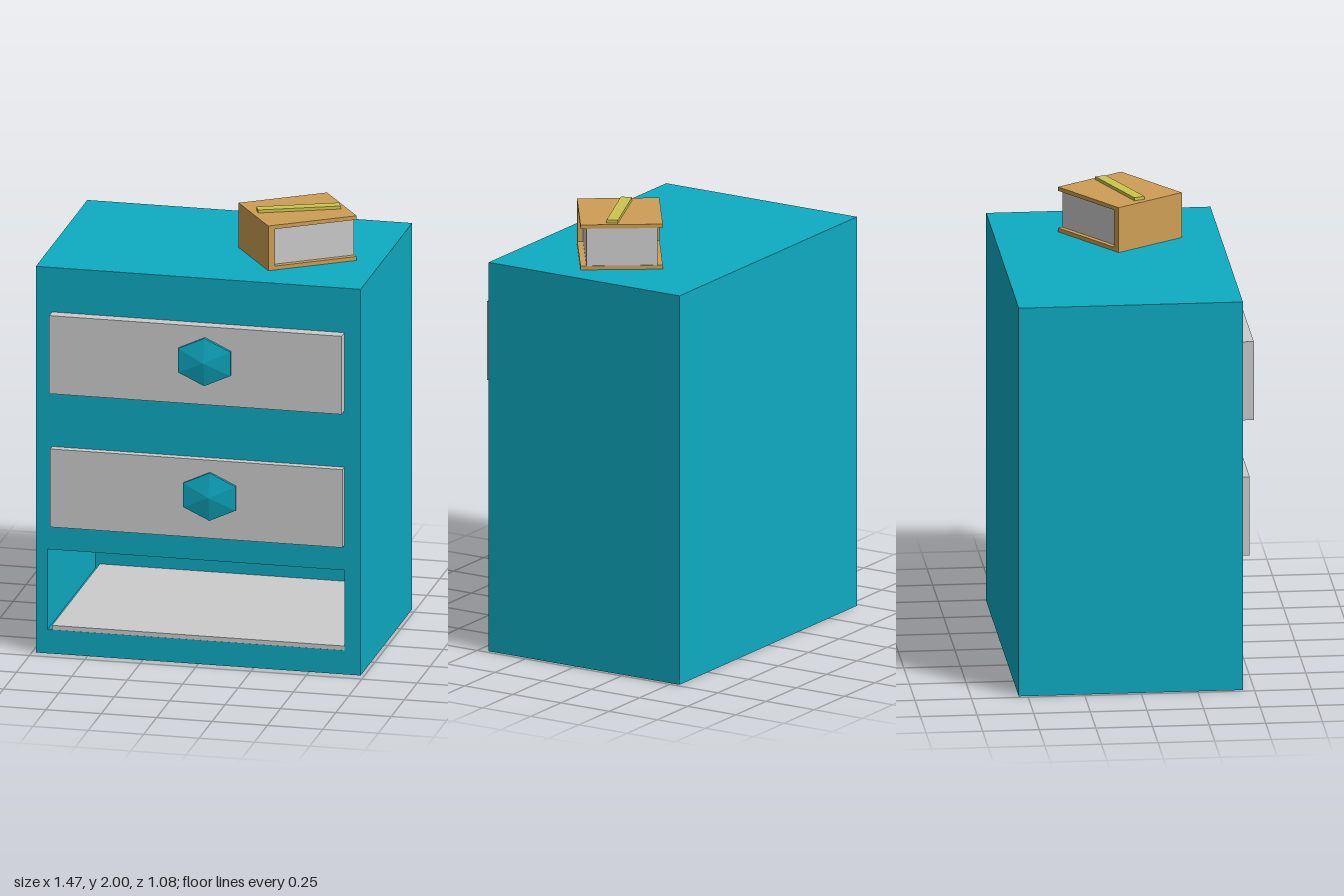
import * as THREE from 'three';

const mat = (color) => new THREE.MeshStandardMaterial({ color, flatShading: true });

export function createModel() {
  const model = new THREE.Group();
  const teal = mat(0x0eabc2), grey = mat(0xcccccc), brown = mat(0xce9f55), yellow = mat(0xccc550);

  const add = (parent, name, geometry, material) => {
    const mesh = new THREE.Mesh(geometry, material);
    mesh.name = name;
    parent.add(mesh);
    return mesh;
  };
  // Box given by its minimum and maximum corners
  const box = (parent, name, material, a, b) => {
    const g = new THREE.BoxGeometry(b[0] - a[0], b[1] - a[1], b[2] - a[2]);
    g.translate((a[0] + b[0]) / 2, (a[1] + b[1]) / 2, (a[2] + b[2]) / 2);
    return add(parent, name, g, material);
  };
  const rect = (target, x0, y0, x1, y1) =>
    target.moveTo(x0, y0).lineTo(x1, y0).lineTo(x1, y1).lineTo(x0, y1).closePath();

  // Cabinet body with an open bay at the bottom
  const cabinet = new THREE.Group();
  cabinet.name = 'cabinet';
  model.add(cabinet);
  const outline = rect(new THREE.Shape(), -0.733, 0, 0.733, 1.78);
  outline.holes.push(rect(new THREE.Path(), -0.68, 0.11, 0.66, 0.48));
  const body = new THREE.ExtrudeGeometry(outline, { depth: 0.92, bevelEnabled: false });
  add(cabinet, 'cabinetBody', body.translate(0, 0, -0.47), teal);
  box(cabinet, 'cabinetBack', teal, [-0.733, 0, -0.54], [0.733, 1.78, -0.47]);
  box(cabinet, 'bayFloor', grey, [-0.66, 0.11, -0.469], [0.66, 0.13, 0.449]);

  // Two drawers, each with a six-sided pointed knob
  const drawers = [
    { y: 1.395, front: 0.505, knobX: 0.043, knobY: 1.415 },
    { y: 0.775, front: 0.487, knobX: 0.062, knobY: 0.79 },
  ];
  for (const d of drawers) {
    const drawer = new THREE.Group();
    drawer.name = 'drawer';
    model.add(drawer);
    box(drawer, 'drawerFront', grey, [-0.66, d.y - 0.18, 0.44], [0.66, d.y + 0.18, d.front]);
    const profile = [[0, -0.005], [1, -0.005], [1, 0.014], [0, 0.035]].map((p) => new THREE.Vector2(...p));
    const knob = new THREE.LatheGeometry(profile, 6);
    knob.rotateX(Math.PI / 2).scale(0.136, 0.11, 1);
    add(drawer, 'knob', knob, teal).position.set(d.knobX, d.knobY, d.front);
  }

  // Book lying on top: two covers, a spine and inset pages
  const book = new THREE.Group();
  book.name = 'book';
  book.position.set(0.346, 1.78, 0.0125);
  book.rotation.y = 0.598;
  model.add(book);
  box(book, 'bottomCover', brown, [-0.208, 0, -0.181], [0.208, 0.018, 0.181]);
  box(book, 'topCover', brown, [-0.208, 0.188, -0.181], [0.208, 0.206, 0.181]);
  box(book, 'spine', brown, [-0.208, 0.018, -0.181], [-0.176, 0.188, 0.181]);
  box(book, 'pages', grey, [-0.176, 0.018, -0.158], [0.206, 0.188, 0.155]);

  // Flat stick on the book
  const stick = box(model, 'stick', yellow, [-0.184, 0, -0.025], [0.184, 0.015, 0.025]);
  stick.position.set(0.35, 1.985, 0.0125);
  stick.rotation.y = 0.39;

  return model;
}
